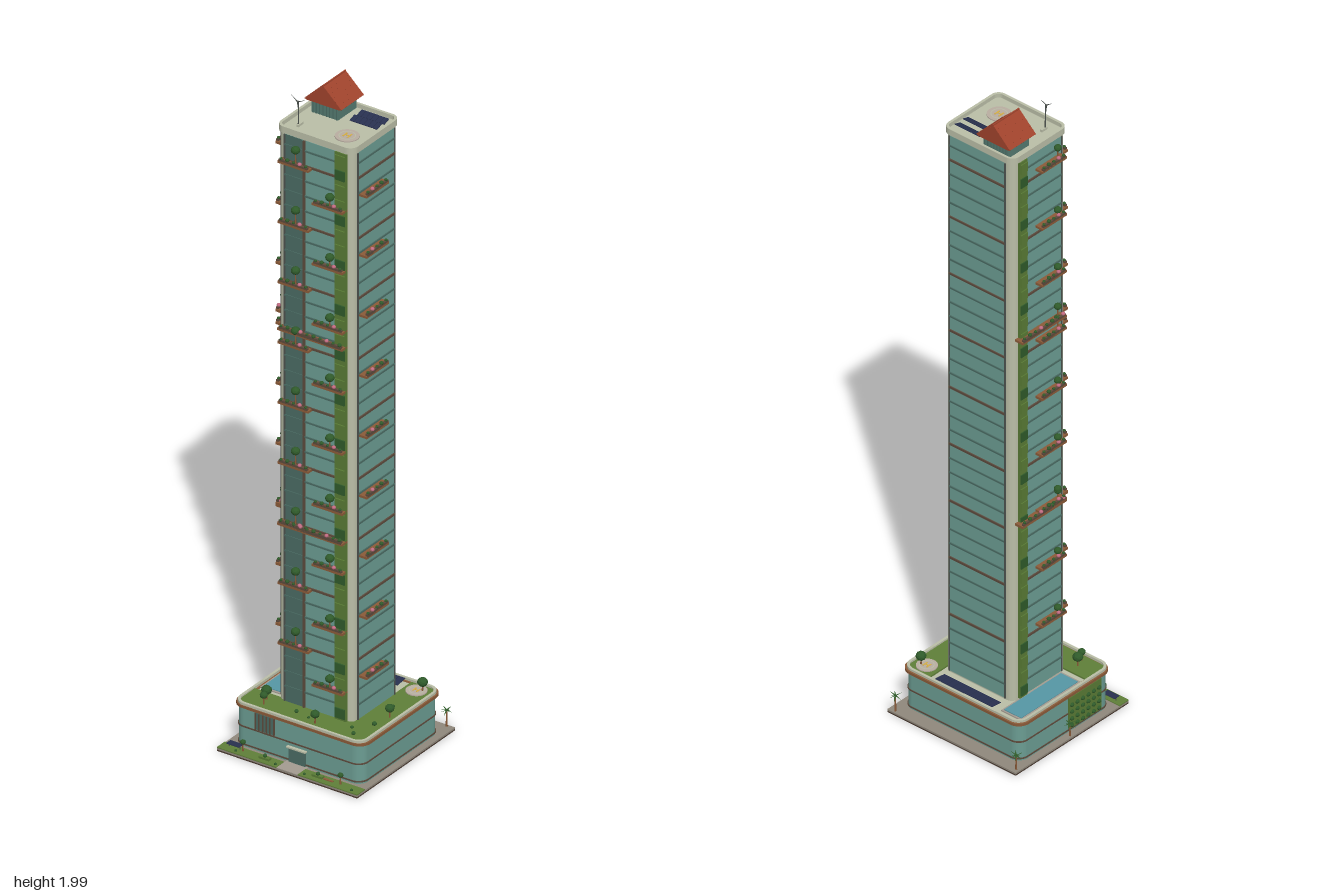
import * as THREE from 'three';

const C = { cream: 0xb9bda6, teal: 0x6b9c92, dark: 0x4a6b63, line: 0x5c4a3c, wood: 0x8a5a38, lawn: 0x5f7f38,
  leaf: 0x2f5a2a, navy: 0x28304f, pool: 0x5596a4, paving: 0x8f877b, roof: 0xa0432c, wall: 0x547a70, path: 0xa39a90,
  pad: 0xb8aca0, vine: 0x587a34, soil: 0x4a3a30, pink: 0xc06a80, steel: 0x4c524e, yellow: 0xd8b040 };
const mats = {};
const mat = (color, flat = false) => mats[color + '/' + flat] ??=
  new THREE.MeshStandardMaterial({ color, flatShading: flat, side: THREE.DoubleSide });

function add(parent, name, geo, color, x = 0, y = 0, z = 0, flat = false) {
  const m = new THREE.Mesh(geo, mat(color, flat));
  m.name = name;
  m.position.set(x, y, z);
  parent.add(m);
  return m;
}
// Box given by its minimum and maximum on each axis
const box = (p, name, color, x0, x1, y0, y1, z0, z1) => add(p, name,
  new THREE.BoxGeometry(x1 - x0, y1 - y0, z1 - z0), color, (x0 + x1) / 2, (y0 + y1) / 2, (z0 + z1) / 2);

function group(parent, name) {
  const g = new THREE.Group();
  g.name = name;
  parent.add(g);
  return g;
}
function roundRect(S, x0, x1, z0, z1, r) {
  const s = new S();
  s.absarc(x1 - r, -z0 - r, r, 0, Math.PI / 2);
  s.absarc(x0 + r, -z0 - r, r, Math.PI / 2, Math.PI);
  s.absarc(x0 + r, -z1 + r, r, Math.PI, Math.PI * 1.5);
  s.absarc(x1 - r, -z1 + r, r, Math.PI * 1.5, Math.PI * 2);
  s.closePath();
  return s;
}
// Upright rounded block; a rim width turns it into a hollow ring
function block(p, name, color, [x0, x1, z0, z1], r, y0, y1, rim = 0) {
  const s = roundRect(THREE.Shape, x0, x1, z0, z1, r);
  if (rim) s.holes.push(roundRect(THREE.Path, x0 + rim, x1 - rim, z0 + rim, z1 - rim, Math.max(r - rim, 0.004)));
  const g = new THREE.ExtrudeGeometry(s, { depth: y1 - y0, bevelEnabled: false, curveSegments: 5 });
  g.rotateX(-Math.PI / 2);
  return add(p, name, g, color, 0, y0, 0);
}

function bush(p, x, y, z, r, color = C.leaf) {
  const m = add(p, 'bush', new THREE.IcosahedronGeometry(r, 1), color, x, y + r * 0.75, z, true);
  m.rotation.y = x * 50 + y * 7;
  m.scale.y = 0.9;
}
function tree(p, x, y, z, h, r) {
  add(p, 'trunk', new THREE.CylinderGeometry(0.0015, 0.0025, h, 6), C.wood, x, y + h / 2, z);
  bush(p, x, y + h - r * 0.4, z, r);
}
// Palm with drooping two-sided fronds
function palm(p, x, y, z, h) {
  const g = group(p, 'palm');
  add(g, 'palmTrunk', new THREE.CylinderGeometry(0.0015, 0.003, h, 6), C.wood, x, y + h / 2, z);
  for (let i = 0; i < 9; i++) {
    const leaf = new THREE.ConeGeometry(0.003, 0.02, 4).rotateZ(-Math.PI / 2).scale(1, 0.3, 1).translate(0.01, 0, 0);
    const m = add(g, 'frond', leaf, C.leaf, x, y + h, z, true);
    m.rotation.set(0, i * Math.PI * 2 / 9, i % 2 ? -0.5 : 0.3);
  }
}
function helipad(p, x, y, z, r) {
  const g = group(p, 'landingPad');
  add(g, 'padDisc', new THREE.CylinderGeometry(r, r, 0.003, 32), C.pad, x, y + 0.0015, z);
  add(g, 'padRing', new THREE.RingGeometry(r * 0.62, r * 0.7, 32).rotateX(-Math.PI / 2), C.cream, x, y + 0.0035, z);
  const k = r * 0.22;
  for (const s of [-1, 1])
    box(g, 'padMark', C.yellow, x + s * k - 0.002, x + s * k + 0.002, y, y + 0.004, z - k * 1.4, z + k * 1.4);
  box(g, 'padMark', C.yellow, x - k, x + k, y, y + 0.004, z - 0.0015, z + 0.0015);
}

const T = [-0.128, 0.117, -0.12, 0.098];   // tower footprint: x0, x1, z0, z1
const G = [-0.103, 0.097, -0.096, 0.075];  // glazed extent on each face

// A slab on any face, from a to b along the face and projecting out by d
function onFace(p, face, name, color, a, b, y0, y1, d, from = -0.001) {
  if (face === 'front') return box(p, name, color, a, b, y0, y1, T[3] + from, T[3] + d);
  if (face === 'back') return box(p, name, color, a, b, y0, y1, T[2] - d, T[2] - from);
  if (face === 'leftSide') return box(p, name, color, T[1] + from, T[1] + d, y0, y1, a, b);
  return box(p, name, color, T[0] - d, T[0] - from, y0, y1, a, b);
}
function balcony(p, face, a, b, y, depth, withTree) {
  const g = group(p, face + 'Balcony');
  onFace(g, face, 'balconySlab', C.wood, a, b, y - 0.004, y + 0.003, depth);
  onFace(g, face, 'planter', C.line, a + 0.004, b - 0.004, y, y + 0.009, depth, depth - 0.007);
  const n = Math.round((b - a) / 0.022);
  for (let i = 0; i < n; i++) {
    const t = a + (b - a) * (i + 0.5) / n, r = 0.0045 + 0.0015 * (i % 2), o = depth - 0.0035;
    const color = i % 4 === 3 ? C.pink : C.leaf;
    if (face === 'front') bush(g, t, y + 0.007, T[3] + o, r, color);
    else bush(g, face === 'leftSide' ? T[1] + o : T[0] - o, y + 0.007, t, r, color);
  }
  if (!withTree) return;
  if (face === 'front') tree(g, a + (b - a) * 0.55, y, T[3] + 0.017, withTree, 0.013);
  else tree(g, T[0] - 0.016, y, b - 0.025, withTree, 0.011);
}

function ground(root) {
  const g = group(root, 'ground');
  box(g, 'baseSlab', C.soil, -0.235, 0.225, 0, 0.004, -0.23, 0.23);
  box(g, 'paving', C.paving, -0.235, 0.225, 0.004, 0.009, -0.23, 0.23);
  box(g, 'frontLawn', C.lawn, -0.235, -0.04, 0.009, 0.012, 0.193, 0.23);
  box(g, 'frontLawn', C.lawn, 0.03, 0.225, 0.009, 0.012, 0.193, 0.23);
  box(g, 'entrancePath', C.path, -0.04, 0.03, 0.009, 0.011, 0.18, 0.23);
  box(g, 'canopy', C.navy, -0.215, -0.173, 0.022, 0.024, 0.195, 0.215);
  for (const x of [-0.212, -0.176]) box(g, 'canopyPost', C.steel, x - 0.001, x + 0.001, 0.01, 0.022, 0.204, 0.206);
  for (const x of [-0.092, 0.082]) {
    box(g, 'planterBox', C.vine, x - 0.017, x + 0.017, 0.01, 0.018, 0.202, 0.216);
    bush(g, x, 0.017, 0.209, 0.006);
  }
  box(g, 'bench', C.wood, 0.105, 0.136, 0.016, 0.018, 0.212, 0.219);
  for (const x of [-0.165, 0.155]) tree(g, x, 0.011, 0.208, 0.026, 0.008);
  for (const x of [-0.18, -0.05, 0.045, 0.2]) bush(g, x, 0.011, 0.22, 0.004);
  palm(g, -0.224, 0.009, -0.215, 0.045);
  palm(g, -0.227, 0.009, 0, 0.04);
  palm(g, 0.203, 0.009, -0.222, 0.05);
}

function podium(root) {
  const g = group(root, 'podium');
  block(g, 'podiumWalls', C.teal, [-0.212, 0.204, -0.187, 0.18], 0.03, 0.009, 0.13);
  for (const y of [0.014, 0.068]) block(g, 'wallBand', C.line, [-0.214, 0.206, -0.189, 0.182], 0.031, y, y + 0.004);
  block(g, 'bronzeCornice', C.wood, [-0.221, 0.212, -0.196, 0.184], 0.036, 0.127, 0.135, 0.02);
  block(g, 'parapet', C.cream, [-0.216, 0.207, -0.191, 0.182], 0.033, 0.127, 0.142, 0.008);
  block(g, 'deck', C.cream, [-0.211, 0.203, -0.186, 0.179], 0.03, 0.129, 0.133);
  // Entrance, grilles and green wall
  box(g, 'entranceDoor', C.dark, -0.033, 0.022, 0.009, 0.055, 0.175, 0.184);
  box(g, 'doorFrame', C.cream, -0.037, 0.026, 0.055, 0.059, 0.175, 0.19);
  box(g, 'darkWindow', C.dark, -0.145, -0.08, 0.074, 0.125, 0.175, 0.182);
  for (let i = 0; i < 6; i++) box(g, 'grille', C.line, -0.143 + i * 0.012, -0.14 + i * 0.012, 0.074, 0.125, 0.18, 0.185);
  box(g, 'greenWall', C.vine, -0.216, -0.208, 0.02, 0.12, 0.01, 0.14);
  for (let i = 0; i < 24; i++)
    bush(g, -0.216, 0.024 + 0.022 * (i % 4), 0.02 + 0.022 * Math.floor(i / 4), 0.007);
  // Roof garden
  box(g, 'frontGarden', C.lawn, -0.208, 0.198, 0.13, 0.138, 0.09, 0.17);
  box(g, 'sideGarden', C.lawn, 0.117, 0.198, 0.13, 0.138, -0.18, 0.09);
  box(g, 'poolSurround', C.path, -0.203, -0.13, 0.13, 0.136, -0.17, 0.073);
  box(g, 'poolWater', C.pool, -0.197, -0.136, 0.13, 0.138, -0.164, 0.067);
  for (let i = 0; i < 10; i++) {
    const m = box(g, 'solarPanel', C.navy, -0.107 + i * 0.0204, -0.0875 + i * 0.0204, 0.138, 0.14, -0.181, -0.144);
    m.rotation.x = 0.12;
  }
  helipad(g, 0.157, 0.138, -0.146, 0.03);
  const trees = [[-0.147, 0.123, 0.015], [-0.138, 0.149, 0.011], [0.036, 0.157, 0.013], [0.182, 0.015, 0.013],
    [0.172, -0.153, 0.015]];
  for (const [x, z, r] of trees) tree(g, x, 0.137, z, 0.025, r);
  const shrubs = [[0.172, 0.073, 0.007], [0.157, -0.037, 0.005], [0.132, 0.121, 0.005], [0.155, 0.147, 0.006],
    [-0.04, 0.135, 0.006], [0.005, 0.143, 0.004]];
  for (const [x, z, r] of shrubs) bush(g, x, 0.137, z, r);
}

function tower(root) {
  const g = group(root, 'tower');
  block(g, 'towerCore', C.cream, T, 0.022, 0.13, 1.893);
  block(g, 'roofParapet', C.cream, [T[0] - 0.004, T[1] + 0.004, T[2] - 0.004, T[3] + 0.004], 0.025, 1.885, 1.905, 0.008);
  const faces = { front: [G[0], G[1]], back: [G[0], G[1]], leftSide: [G[2], G[3]], rightSide: [G[2], G[3]] };
  for (const [face, [a, b]] of Object.entries(faces)) {
    onFace(g, face, 'glazing', C.teal, a, b, 0.138, 1.883, 0.002);
    for (let i = 1; i < 38; i++) {
      const y = 0.138 + i * 0.0463, major = i % 4 === 0;
      onFace(g, face, 'floorBand', major ? C.line : C.dark, a, b, y - 0.002, y + (major ? 0.004 : 0.003), major ? 0.006 : 0.005);
    }
    for (const e of [a, b]) onFace(g, face, 'cornerTrim', C.steel, e - 0.0015, e + 0.0015, 0.138, 1.883, 0.005);
  }
  // Front details: dark bay, timber mullion and planted strips
  onFace(g, 'front', 'darkBay', C.dark, -0.1, -0.045, 0.138, 1.883, 0.003);
  onFace(g, 'front', 'mullion', C.line, -0.041, -0.036, 0.138, 1.883, 0.007);
  onFace(g, 'front', 'greenStrip', C.vine, 0.064, 0.1, 0.138, 1.885, 0.007);
  onFace(g, 'rightSide', 'greenStrip', C.vine, -0.098, -0.068, 0.138, 1.885, 0.007);
  for (let i = 0; i < 38; i++) {
    onFace(g, 'front', 'stripFoliage', i % 3 ? C.vine : C.leaf, 0.066, 0.098, 0.145 + i * 0.046, 0.175 + i * 0.046, 0.011);
    onFace(g, 'rightSide', 'stripFoliage', i % 3 ? C.vine : C.leaf, -0.096, -0.07, 0.145 + i * 0.046, 0.175 + i * 0.046, 0.01);
  }
  // Staggered balconies, repeating every four floors
  for (let i = 0; i < 9; i++) {
    const y = i * 0.1853;
    balcony(g, 'front', -0.113, -0.012, 0.322 + y, 0.023, 0.045);
    balcony(g, 'front', 0, 0.1, 0.228 + y, 0.023, 0.03);
    balcony(g, 'leftSide', -0.035, 0.07, 0.27 + y, 0.028, 0);
    balcony(g, 'rightSide', -0.03, 0.07, 0.345 + y, 0.027, i % 3 === 2 ? 0.035 : 0.018);
  }
  for (const y of [0.69, 1.29]) {
    balcony(g, 'front', -0.113, 0.1, y, 0.024, 0);
    balcony(g, 'rightSide', -0.11, 0.07, y + 0.02, 0.027, 0.035);
  }
}

function rooftop(root) {
  const g = group(root, 'rooftop'), y = 1.893;
  // Cabin with a gabled roof, ridge along z
  const house = group(g, 'cabin');
  box(house, 'cabinWalls', C.wall, -0.104, -0.017, y, 1.938, -0.113, -0.027);
  for (let i = 0; i < 8; i++) box(house, 'wallBatten', C.dark, -0.1 + i * 0.011, -0.098 + i * 0.011, y, 1.936, -0.115, -0.025);
  const gable = new THREE.Shape([[-0.12, 1.932], [-0.061, 1.987], [-0.002, 1.932], [-0.008, 1.93], [-0.114, 1.93]]
    .map(([a, b]) => new THREE.Vector2(a, b)).reverse());
  add(house, 'gableRoof', new THREE.ExtrudeGeometry(gable, { depth: 0.105, bevelEnabled: false }), C.roof, 0, 0, -0.124);
  for (const s of [-1, 1]) for (let i = 0; i < 6; i++) {
    const m = add(house, 'tileRow', new THREE.BoxGeometry(0.014, 0.002, 0.106), C.roof,
      -0.061 + s * (0.006 + i * 0.0098), 1.983 - i * 0.0091, -0.0715);
    m.rotation.z = -s * 0.7;
  }
  box(house, 'ridgeCap', C.roof, -0.063, -0.059, 1.985, 1.991, -0.125, -0.018);
  // Solar rows
  for (const z of [-0.085, -0.051]) for (let i = 0; i < 6; i++) {
    const m = box(g, 'solarPanel', C.navy, 0.012 + i * 0.0152, 0.026 + i * 0.0152, 1.9, 1.902, z - 0.012, z + 0.012);
    m.rotation.x = 0.3;
  }
  helipad(g, 0.053, y, 0.03, 0.034);
  // Wind turbine
  const turbine = group(g, 'windTurbine');
  box(turbine, 'turbineBase', C.cream, -0.09, -0.083, y, 1.9, 0.042, 0.065);
  add(turbine, 'mast', new THREE.CylinderGeometry(0.0012, 0.002, 0.077, 8), C.steel, -0.087, 1.931, 0.059);
  add(turbine, 'hub', new THREE.SphereGeometry(0.003, 10, 8), C.steel, -0.087, 1.97, 0.062);
  for (let i = 0; i < 3; i++) {
    const blade = new THREE.ConeGeometry(0.002, 0.028, 5).scale(1, 1, 0.4).translate(0, 0.014, 0);
    add(turbine, 'blade', blade, C.steel, -0.087, 1.97, 0.063).rotation.z = 0.95 + i * Math.PI * 2 / 3;
  }
}

export function createModel() {
  const root = new THREE.Group();
  root.name = 'greenTower';
  ground(root);
  podium(root);
  tower(root);
  rooftop(root);
  return root;
}
